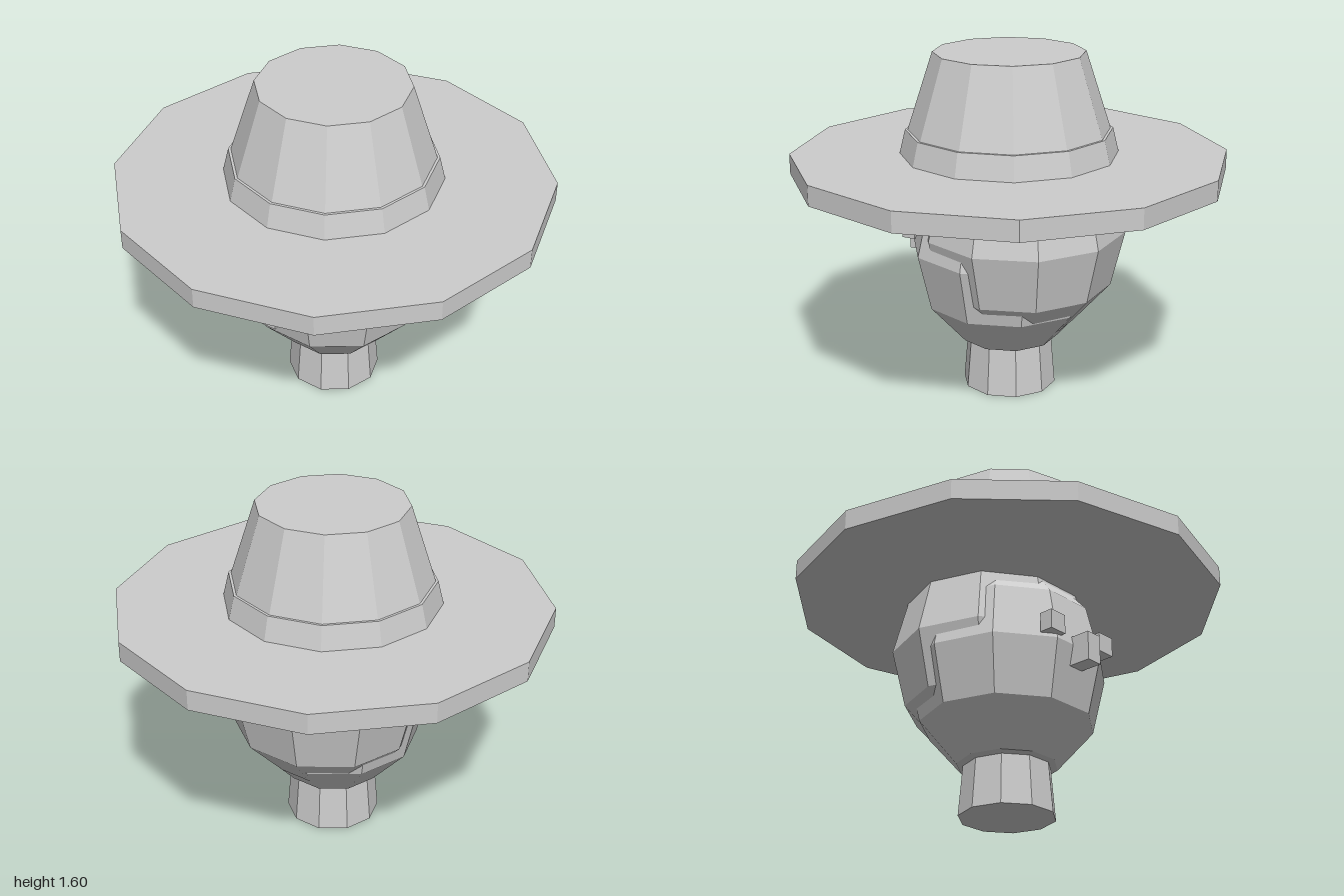
import * as THREE from 'three';

const grey = new THREE.MeshStandardMaterial({ color: 0xcccccc });
grey.name = 'plain grey';
grey.flatShading = true;

export function createModel() {
  const model = new THREE.Group();
  model.name = 'headWithHat';

  const add = (name, geometry, x, y, z) => {
    const mesh = new THREE.Mesh(geometry, grey);
    mesh.name = name;
    mesh.position.set(x, y, z);
    model.add(mesh);
    return mesh;
  };

  // Straight or tapered ring of sides between two heights
  const drum = (name, rTop, rBottom, y0, y1, sides) =>
    add(name, new THREE.CylinderGeometry(rTop, rBottom, y1 - y0, sides), 0, (y0 + y1) / 2, 0);

  // Coarse ball with its own radius on each axis
  const ball = (name, rx, ry, rz, y, z) =>
    add(name, new THREE.SphereGeometry(1, 10, 6).scale(rx, ry, rz), 0, y, z);

  // Neck, with corners on the x axis
  drum('neck', 0.2, 0.22, 0, 0.24, 10).rotation.y = Math.PI / 2;

  // Head, and hair as a ball set further back and higher
  ball('head', 0.467, 0.52, 0.457, 0.69, 0);
  ball('hair', 0.492, 0.52, 0.468, 0.78, -0.075);

  // Face
  for (const side of [-1, 1]) {
    add(side > 0 ? 'leftEye' : 'rightEye', new THREE.BoxGeometry(0.09, 0.09, 0.065), side * 0.162, 0.753, 0.424);
  }
  add('nose', new THREE.BoxGeometry(0.08, 0.135, 0.12), 0, 0.662, 0.46);

  // Hat
  drum('hatBrim', 1, 1, 1.037, 1.13, 12);
  drum('hatBand', 0.473, 0.5, 1.13, 1.24, 12);
  drum('hatCrown', 0.345, 0.497, 1.13, 1.595, 12);

  return model;
}
